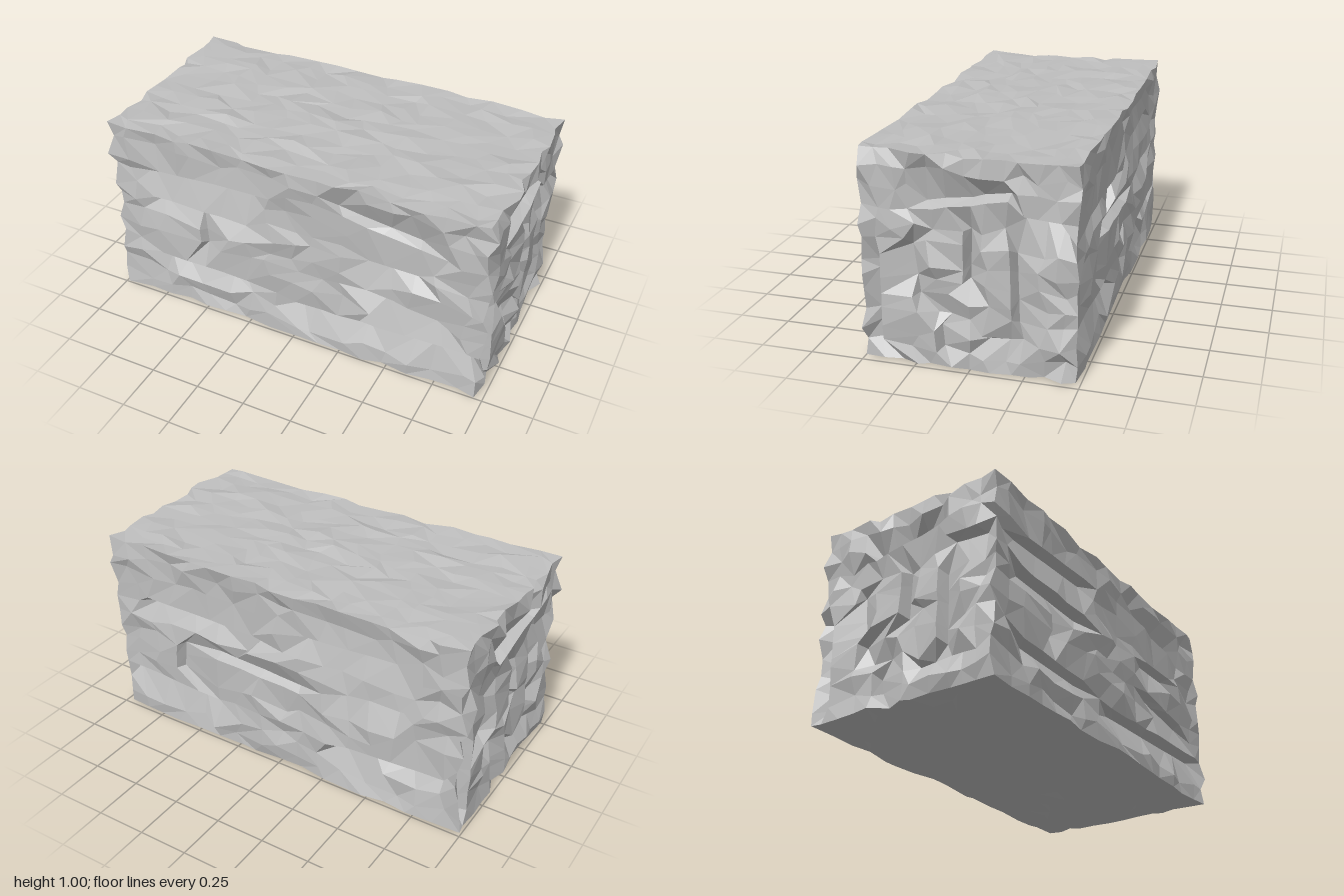
import * as THREE from 'three';
import { mergeVertices } from 'three/addons/utils/BufferGeometryUtils.js';

const X = 0, Y = 1, Z = 2;
const LOW = [-1, 0, -0.5], HIGH = [1, 1, 0.5], SEGMENTS = [16, 12, 12];

// Chipped ledges: [axis along, from, to, cross position at start, at end, depth].
// Positive depth cuts the lower side of the line, negative the upper side.
const FRONT = [
  [X, -0.75, -0.2, 0.775, 0.8, 0.04], [X, -0.8, -0.22, 0.61, 0.6, 0.05],
  [X, 0.3, 0.65, 0.61, 0.61, 0.04], [X, 0.2, 0.65, 0.85, 0.78, -0.04],
  [X, -0.78, -0.2, 0.26, 0.25, 0.04], [X, 0, 0.92, 0.21, 0.24, 0.05],
  [X, 0.33, 0.76, 0.44, 0.38, 0.04], [Y, 0.4, 0.58, -0.5, -0.51, -0.04],
];
const BACK = [
  [X, -0.7, -0.1, 0.8, 0.78, 0.04], [X, 0.1, 0.8, 0.68, 0.7, 0.05],
  [X, -0.9, -0.3, 0.27, 0.23, 0.05], [X, -0.2, 0.45, 0.46, 0.5, -0.04],
  [X, 0.3, 0.9, 0.22, 0.25, 0.04], [X, -0.7, -0.3, 0.56, 0.54, 0.04],
  [Y, 0.5, 0.75, 0.2, 0.18, -0.04], [Y, 0.3, 0.5, 0.62, 0.6, 0.04],
];
const END = [
  [Y, 0.05, 0.52, 0.41, 0.41, -0.05], [Y, 0.3, 0.66, 0.24, 0.28, 0.05],
  [Y, 0.38, 0.74, 0.01, 0.0, 0.05], [Y, 0.2, 0.62, -0.21, -0.2, 0.05],
  [Y, 0.02, 0.2, 0.13, 0.15, 0.05], [Y, 0.36, 0.5, -0.31, -0.3, -0.05],
  [Z, -0.18, 0.22, 0.83, 0.75, -0.05], [Z, -0.45, -0.18, 0.73, 0.75, 0.05],
  [Z, 0.05, 0.22, 0.24, 0.24, -0.05], [Z, -0.3, -0.08, 0.19, 0.17, 0.04],
];
const mirrorEnd = END.map(([axis, a, b, c, d, depth]) =>
  axis === Y ? [axis, a, b, -c, -d, -depth] : [axis, -b, -a, d, c, depth]);

function seededRandom(seed) {
  return () => {
    seed = (seed * 1664525 + 1013904223) >>> 0;
    return seed / 4294967296;
  };
}

function createRoughBlock() {
  const rand = seededRandom(41);
  let geometry = new THREE.BoxGeometry(2, 1, 1, ...SEGMENTS).translate(0, 0.5, 0);

  // Turn some quad diagonals so the facets look broken rather than gridded
  const index = geometry.index;
  for (let i = 0; i < index.count; i += 6) {
    if (rand() < 0.5) continue;
    const a = index.getX(i), b = index.getX(i + 1), d = index.getX(i + 2), c = index.getX(i + 4);
    [a, b, c, a, c, d].forEach((v, k) => index.setX(i + k, v));
  }

  // Weld the six sides into one shell
  geometry.deleteAttribute('normal');
  geometry.deleteAttribute('uv');
  geometry.clearGroups();
  geometry = mergeVertices(geometry, 1e-4);

  const position = geometry.attributes.position;
  const step = SEGMENTS.map((n, k) => (HIGH[k] - LOW[k]) / n);
  const side = (p, k) => (p[k] < LOW[k] + 1e-3 ? -1 : p[k] > HIGH[k] - 1e-3 ? 1 : 0);

  for (let i = 0; i < position.count; i++) {
    const base = [position.getX(i), position.getY(i), position.getZ(i)];
    const sides = base.map((_, k) => side(base, k));
    const onEdge = sides.filter(s => s !== 0).length > 1;
    const point = base.slice();

    // Weathered surface: shallow insets, plus drift within the surface
    const inset = onEdge ? [0.045, 0.018, 0.024] : [0.045, 0.022, 0.034];
    for (let k = 0; k < 3; k++) {
      point[k] += sides[k] ? -sides[k] * inset[k] * rand() : (rand() - 0.5) * 0.6 * step[k];
    }

    // Ledges: bring two neighbouring rows together and sink one of them
    if (!onEdge && sides[Y] === 0) {
      const face = sides[X] !== 0 ? X : Z;
      const s = sides[face];
      const ledges = face === X ? (s > 0 ? END : mirrorEnd) : (s > 0 ? FRONT : BACK);
      for (const [along, from, to, start, end, depth] of ledges) {
        if (base[along] < from || base[along] > to) continue;
        const cross = 3 - face - along;
        const line = start + (end - start) * (base[along] - from) / (to - from);
        const offset = base[cross] - line;
        if (Math.abs(offset) >= step[cross]) continue;
        const upper = offset >= 0;
        point[cross] = line + (upper ? 0.011 : -0.011);
        const sunk = upper === (depth < 0);
        point[face] = s * (HIGH[face] - (sunk ? 0.02 + Math.abs(depth) : 0.01 + 0.012 * rand()));
        break;
      }
    }
    position.setXYZ(i, ...point);
  }

  const faceted = geometry.toNonIndexed();
  faceted.computeVertexNormals();
  return faceted;
}

export function createModel() {
  const stone = new THREE.MeshStandardMaterial({ color: 0xbebebe });
  stone.name = 'pale grey stone';
  stone.flatShading = true;

  const block = new THREE.Mesh(createRoughBlock(), stone);
  block.name = 'stoneBlock';

  const group = new THREE.Group();
  group.name = 'roughStone';
  group.add(block);
  return group;
}
